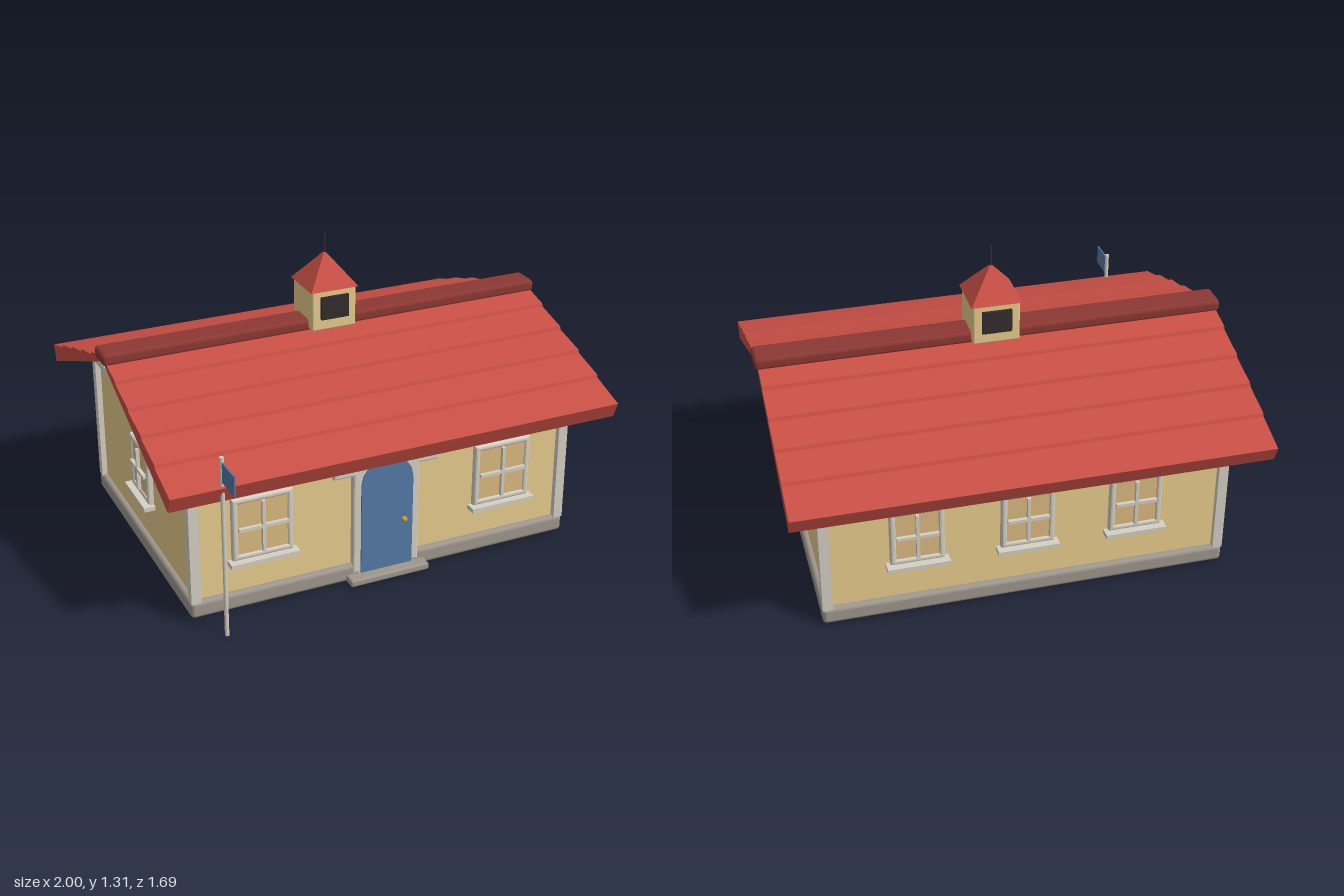
import * as THREE from 'three';
import { RoundedBoxGeometry } from 'three/addons/geometries/RoundedBoxGeometry.js';

const paint = (color, extra = {}) => new THREE.MeshStandardMaterial({ color, ...extra });
const WALL = paint(0xe8cd8e), ROOF = paint(0xc94f45), RIDGE = paint(0x8c3833), TRIM = paint(0xd6d0c4);
const STONE = paint(0x9f978d), BLUE = paint(0x5579a6), GLASS = paint(0xdcbb80);
const DARK = paint(0x352c2c), GOLD = paint(0xc9a03c);

const MID = -0.057; // z of the ridge line

function add(parent, name, geometry, material, x = 0, y = 0, z = 0) {
  const mesh = new THREE.Mesh(geometry, material);
  mesh.name = name;
  mesh.position.set(x, y, z);
  parent.add(mesh);
  return mesh;
}
const box = (w, h, d) => new THREE.BoxGeometry(w, h, d);
const soft = (w, h, d, r) => new RoundedBoxGeometry(w, h, d, 3, r);

// Extrudes a [z, y] outline along x, centred on x = 0
function extrudeX(points, length) {
  const shape = new THREE.Shape(points.map(([z, y]) => new THREE.Vector2(-z, y)));
  const g = new THREE.ExtrudeGeometry(shape, { depth: length, bevelEnabled: false });
  return g.translate(0, 0, -length / 2).rotateY(Math.PI / 2);
}

function rect(target, w, h) {
  target.moveTo(-w / 2, -h / 2);
  target.lineTo(w / 2, -h / 2);
  target.lineTo(w / 2, h / 2);
  target.lineTo(-w / 2, h / 2);
  target.closePath();
  return target;
}

// Window facing +z with its back on z = 0
function makeWindow(name, w, h) {
  const g = new THREE.Group();
  g.name = name;
  const iw = w - 0.05, ih = h - 0.05;
  const ring = rect(new THREE.Shape(), w, h);
  ring.holes.push(rect(new THREE.Path(), iw, ih));
  add(g, 'windowFrame', new THREE.ExtrudeGeometry(ring, {
    depth: 0.015, bevelThickness: 0.01, bevelSize: 0.01, bevelOffset: -0.01, bevelSegments: 3,
  }), TRIM);
  add(g, 'windowPane', box(iw + 0.02, ih + 0.02, 0.012), GLASS, 0, 0, 0.012);
  add(g, 'verticalBar', box(0.014, ih, 0.016), TRIM, 0, 0, 0.027);
  add(g, 'horizontalBar', box(iw, 0.014, 0.016), TRIM, 0, 0, 0.027);
  add(g, 'windowSill', box(w + 0.035, 0.019, 0.05), TRIM, 0, -h / 2 - 0.01, 0.025);
  return g;
}

function placeWindow(root, name, w, h, x, y, z, turn) {
  const win = makeWindow(name, w, h);
  win.position.set(x, y, z);
  win.rotation.y = turn;
  root.add(win);
}

function archedOutline(target, halfWidth, bottom, spring, top) {
  target.moveTo(-halfWidth, bottom);
  target.lineTo(halfWidth, bottom);
  for (let i = 0; i <= 8; i++) {
    const a = (i / 8) * Math.PI;
    target.lineTo(halfWidth * Math.cos(a), spring + (top - spring) * Math.sin(a));
  }
  target.closePath();
  return target;
}

export function createModel() {
  const root = new THREE.Group();
  root.name = 'house';

  // Body
  add(root, 'foundation', soft(1.72, 0.075, 1.23, 0.018), STONE, 0, 0.0375, MID);
  add(root, 'walls', box(1.67, 0.59, 1.18), WALL, 0, 0.36, MID);
  for (const sx of [-1, 1]) {
    for (const sz of [-1, 1]) {
      add(root, 'cornerPost', box(0.042, 0.58, 0.042), TRIM, sx * 0.838, 0.36, MID + sz * 0.594);
    }
    add(root, 'sideBeam', box(0.042, 0.032, 1.23), TRIM, sx * 0.838, 0.66, MID);
    add(root, 'longBeam', box(1.72, 0.032, 0.042), TRIM, 0, 0.66, MID + sx * 0.594);
  }
  add(root, 'gable', extrudeX([[MID + 0.53, 0.645], [MID, 0.86], [MID - 0.53, 0.645]], 1.67), WALL);

  // Roof slopes with overlapping courses
  const steps = [[0.787, 0.665], [0.62, 0.73], [0.468, 0.784], [0.315, 0.833], [0.16, 0.884], [0, 0.935]];
  for (const side of [1, -1]) {
    const outline = [[0, 0.905], [0.757, 0.595]];
    steps.forEach(([d, y], i) => {
      if (i > 0) outline.push([d + 0.006, y - 0.014]);
      outline.push([d, y]);
    });
    add(root, side > 0 ? 'frontRoof' : 'backRoof',
      extrudeX(outline.map(([d, y]) => [MID + side * d, y]), 1.97), ROOF);
  }
  add(root, 'ridgeCap', soft(2, 0.055, 0.125, 0.018), RIDGE, 0, 0.928, MID - 0.003);

  // Bell tower
  add(root, 'towerBody', soft(0.2, 0.18, 0.2, 0.008), WALL, 0, 1.004, MID);
  for (const s of [-1, 1]) add(root, 'towerOpening', box(0.126, 0.1, 0.02), DARK, 0, 1.015, MID + s * 0.102);
  const pyramid = new THREE.ConeGeometry(0.108 * Math.SQRT2, 0.14, 4).rotateY(Math.PI / 4);
  add(root, 'towerRoof', pyramid, paint(0xc94f45, { flatShading: true }), 0, 1.16, MID);
  add(root, 'spire', new THREE.CylinderGeometry(0.005, 0.005, 0.1, 8), DARK, 0, 1.261, MID);

  // Windows
  for (const s of [-1, 1]) {
    placeWindow(root, 'frontWindow', 0.262, 0.278, s * 0.545, 0.362, 0.533, 0);
    placeWindow(root, 'sideWindow', 0.225, 0.24, s * 0.835, 0.386, MID, s * Math.PI / 2);
  }
  for (const x of [-0.46, 0, 0.46]) {
    placeWindow(root, 'backWindow', 0.225, 0.26, x, 0.376, -0.647, Math.PI);
  }

  // Doorway
  const surround = new THREE.Shape();
  [[-0.15, 0.035], [0.15, 0.035], [0.15, 0.49], [0.235, 0.49], [0.235, 0.595], [-0.235, 0.595],
    [-0.235, 0.49], [-0.15, 0.49]].forEach(([x, y], i) => (i ? surround.lineTo(x, y) : surround.moveTo(x, y)));
  surround.holes.push(archedOutline(new THREE.Path(), 0.115, 0.04, 0.44, 0.55));
  add(root, 'doorSurround', new THREE.ExtrudeGeometry(surround, {
    depth: 0.02, bevelThickness: 0.008, bevelSize: 0.008, bevelOffset: -0.008, bevelSegments: 2,
  }), TRIM, 0, 0, 0.533);
  const door = archedOutline(new THREE.Shape(), 0.117, 0.035, 0.44, 0.552);
  add(root, 'door', new THREE.ExtrudeGeometry(door, { depth: 0.03, bevelEnabled: false }), BLUE, 0, 0, 0.537);
  add(root, 'doorKnob', new THREE.SphereGeometry(0.013, 16, 12), GOLD, 0.075, 0.25, 0.575);
  add(root, 'doorStep', soft(0.36, 0.033, 0.12, 0.01), STONE, 0, 0.0165, 0.55);

  // Flag on its pole
  add(root, 'flagPole', new THREE.CylinderGeometry(0.009, 0.009, 0.79, 12), TRIM, -0.77, 0.395, 0.712);
  add(root, 'flag', box(0.006, 0.086, 0.13), BLUE, -0.77, 0.728, 0.78);

  return root;
}
